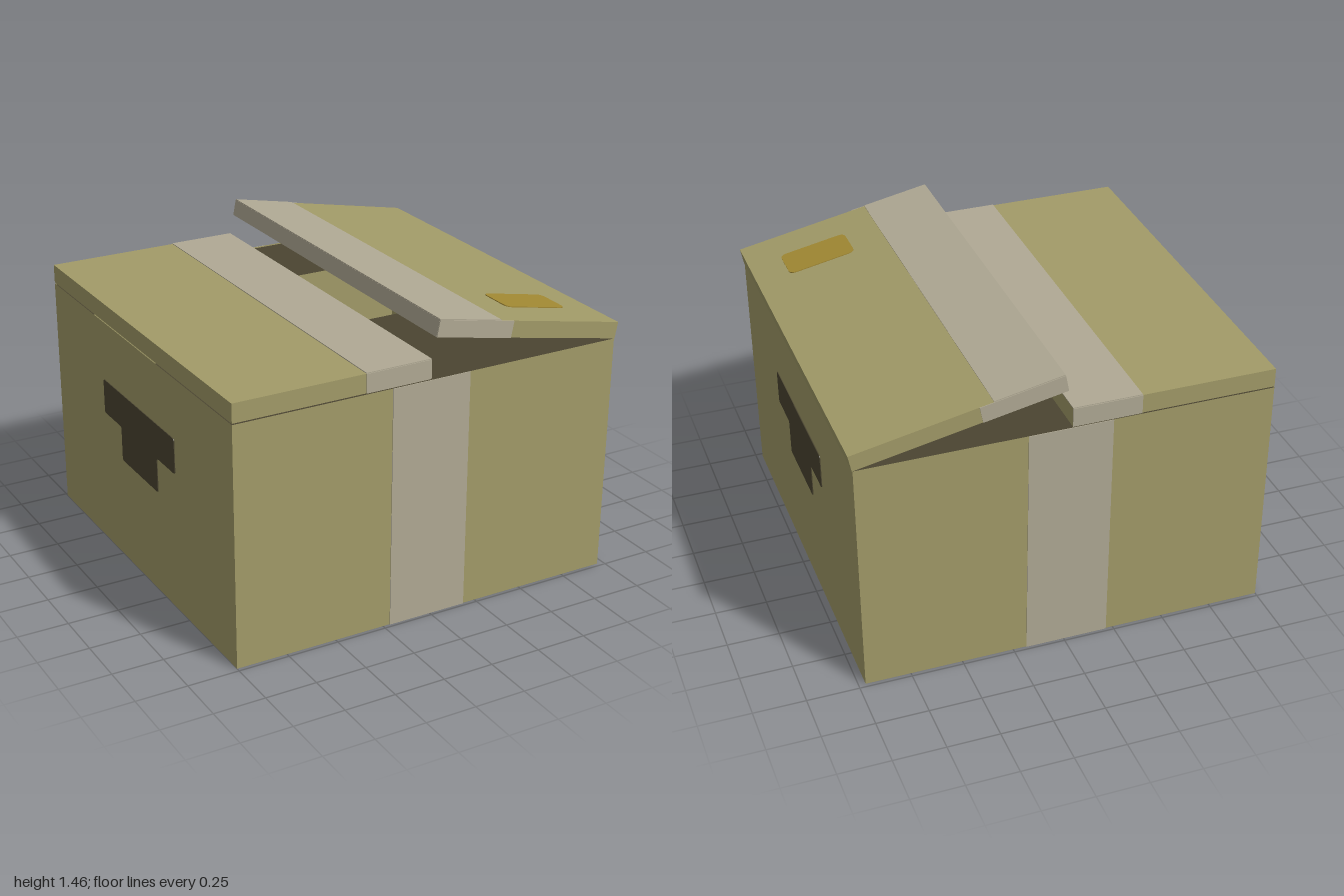
import * as THREE from 'three';

const mat = (name, color, side = THREE.FrontSide) => {
  const m = new THREE.MeshStandardMaterial({ color, side });
  m.name = name;
  return m;
};

export function createModel() {
  const card = mat('cardboard', 0xa29b68, THREE.DoubleSide);
  const tape = mat('tape', 0xb0a994, THREE.DoubleSide);
  const dark = mat('darkCutout', 0x4b4531, THREE.DoubleSide);
  const amber = mat('amberLabel', 0xa28933);

  const Z = 0.98, H = 1.18, LEFT = 0.967, LEFT_TOP = 0.98, T = 0.004;
  const model = new THREE.Group();
  model.name = 'cardboardBox';

  const add = (parent, name, geometry, material) => {
    const mesh = new THREE.Mesh(geometry, material);
    mesh.name = name;
    parent.add(mesh);
    return mesh;
  };

  // Flat panel through four corners, counter-clockwise from outside
  const panel = (name, material, ...corners) => {
    const g = new THREE.BufferGeometry();
    g.setAttribute('position', new THREE.Float32BufferAttribute(corners.flat(), 3));
    g.setIndex([0, 1, 2, 0, 2, 3]);
    g.computeVertexNormals();
    return add(model, name, g, material);
  };

  // Block given by its minimum and maximum corners
  const block = (parent, name, material, x0, x1, y0, y1, z0, z1) => {
    const g = new THREE.BoxGeometry(x1 - x0, y1 - y0, z1 - z0);
    g.translate((x0 + x1) / 2, (y0 + y1) / 2, (z0 + z1) / 2);
    return add(parent, name, g, material);
  };

  // Walls of the open body; the left wall leans slightly outward
  panel('frontWall', card, [-1, 0, Z], [LEFT, 0, Z], [LEFT_TOP, H, Z], [-1, H, Z]);
  panel('backWall', card, [LEFT, 0, -Z], [-1, 0, -Z], [-1, H, -Z], [LEFT_TOP, H, -Z]);
  panel('rightWall', card, [-1, 0, -Z], [-1, 0, Z], [-1, H, Z], [-1, H, -Z]);
  panel('leftWall', card, [LEFT, 0, Z], [LEFT, 0, -Z], [LEFT_TOP, H, -Z], [LEFT_TOP, H, Z]);

  // Floor with a taped seam down the middle
  const floor = (name, material, x0, x1) =>
    panel(name, material, [x0, 0, -Z], [x1, 0, -Z], [x1, 0, Z], [x0, 0, Z]);
  floor('floorRight', card, -1, -0.215);
  floor('floorTape', tape, -0.215, 0.185);
  floor('floorLeft', card, 0.185, LEFT);

  // Vertical tape on front and back
  block(model, 'frontTape', tape, -0.215, 0.185, 0, H, Z, Z + T);
  block(model, 'backTape', tape, -0.215, 0.185, 0, H, -Z - T, -Z);

  // Short inner flaps, front and back
  const innerFlap = (name, z0, z1) =>
    panel(name, dark, [-1, H - 0.006, z1], [LEFT_TOP, H - 0.006, z1],
      [LEFT_TOP, H - 0.006, z0], [-1, H - 0.006, z0]);
  innerFlap('frontInnerFlap', 0.2, Z);
  innerFlap('backInnerFlap', -Z, -0.5);

  // T-shaped handle cutouts on both sides
  const outline = [[-0.2, 0.53], [0.2, 0.53], [0.2, 0.705], [0.395, 0.705],
    [0.395, 0.88], [-0.395, 0.88], [-0.395, 0.705], [-0.2, 0.705]];
  const handleShape = new THREE.Shape();
  const n = outline.length, r = 0.015;
  outline.forEach(([x, y], i) => {
    const p = new THREE.Vector2(x, y);
    const toward = (q) => new THREE.Vector2(...q).sub(p).setLength(r).add(p);
    const a = toward(outline[(i + n - 1) % n]), b = toward(outline[(i + 1) % n]);
    if (i === 0) handleShape.moveTo(a.x, a.y);
    else handleShape.lineTo(a.x, a.y);
    handleShape.quadraticCurveTo(x, y, b.x, b.y);
  });
  handleShape.closePath();
  for (const side of [1, -1]) {
    const g = new THREE.ExtrudeGeometry(handleShape, { depth: T, bevelEnabled: false });
    g.rotateY(side * Math.PI / 2);
    const handle = add(model, side > 0 ? 'leftHandle' : 'rightHandle', g, dark);
    handle.position.x = side > 0 ? LEFT : -1;
    if (side > 0) handle.rotation.z = -Math.atan((LEFT_TOP - LEFT) / H);
  }

  // Closed right flap, lying flat
  const closed = new THREE.Group();
  closed.name = 'rightFlap';
  model.add(closed);
  block(closed, 'rightFlapBoard', card, -1, -0.02, 1.186, 1.278, -Z, Z);
  block(closed, 'rightFlapTopTape', tape, -0.35, -0.02, 1.278, 1.278 + T, -Z, Z);
  for (const s of [-1, 1])
    block(closed, 'rightFlapEdgeTape', tape, -0.35, -0.02, 1.186, 1.278,
      s > 0 ? Z : -Z - T, s > 0 ? Z + T : -Z);

  // Raised left flap, hinged on the left wall
  const raised = new THREE.Group();
  raised.name = 'leftFlap';
  raised.position.set(0.983, H, 0);
  raised.rotation.z = -0.199;
  model.add(raised);
  const th = 0.08;
  block(raised, 'leftFlapBoard', card, -0.997, 0, 0, th, -Z, Z);
  block(raised, 'leftFlapTopTape', tape, -1, -0.668, th, th + T, -Z, Z);
  block(raised, 'leftFlapEndTape', tape, -1.001, -0.997, 0, th, -Z, Z);
  for (const s of [-1, 1])
    block(raised, 'leftFlapEdgeTape', tape, -1, -0.6, 0, th,
      s > 0 ? Z : -Z - T, s > 0 ? Z + T : -Z);

  // Amber label with rounded corners on the raised flap
  const w = 0.168, h = 0.098, c = 0.035;
  const labelShape = new THREE.Shape();
  labelShape.moveTo(-w + c, -h);
  labelShape.lineTo(w - c, -h).quadraticCurveTo(w, -h, w, -h + c);
  labelShape.lineTo(w, h - c).quadraticCurveTo(w, h, w - c, h);
  labelShape.lineTo(-w + c, h).quadraticCurveTo(-w, h, -w, h - c);
  labelShape.lineTo(-w, -h + c).quadraticCurveTo(-w, -h, -w + c, -h);
  const labelGeo = new THREE.ExtrudeGeometry(labelShape, { depth: T, bevelEnabled: false });
  labelGeo.rotateX(-Math.PI / 2);
  add(raised, 'label', labelGeo, amber).position.set(-0.332, th, 0.685);

  return model;
}
